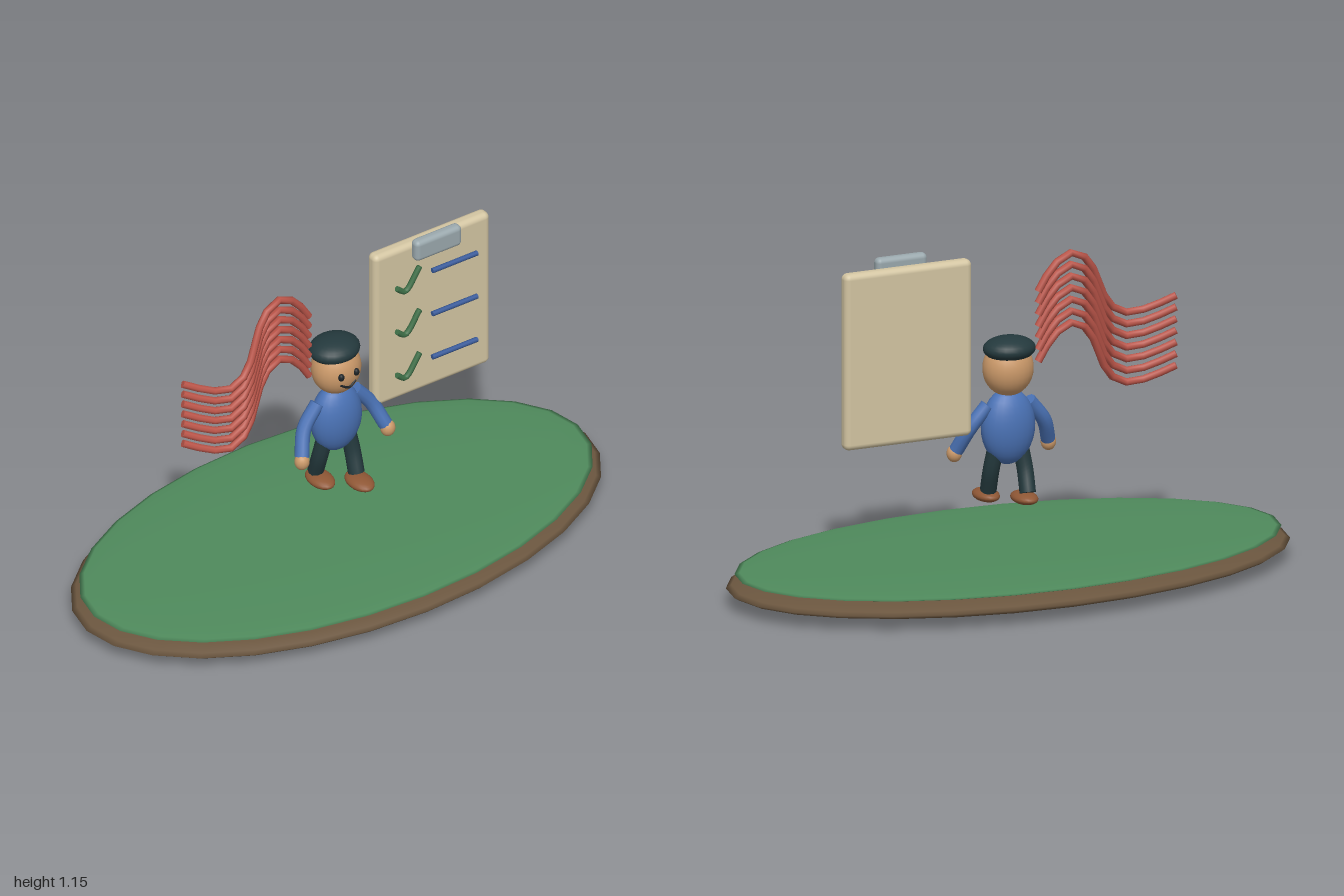
import * as THREE from 'three';
import { RoundedBoxGeometry } from 'three/addons/geometries/RoundedBoxGeometry.js';

const paint = (color) => new THREE.MeshStandardMaterial({ color });
const earth = paint(0x6b563f), grass = paint(0x4f8a5c), skin = paint(0xcc9a6a), dark = paint(0x24393d);
const shirt = paint(0x4a72b5), leather = paint(0x8f5735), cream = paint(0xd3c5a2), metal = paint(0x9aa8ad);
const red = paint(0xbb5549), tick = paint(0x3f7048), ink = paint(0x3a5c9c), black = paint(0x1c2226);

export function createModel() {
  const model = new THREE.Group();

  function add(parent, name, geometry, material, [x, y, z] = [0, 0, 0]) {
    const mesh = new THREE.Mesh(geometry, material);
    mesh.name = name;
    mesh.position.set(x, y, z);
    parent.add(mesh);
    return mesh;
  }
  const group = (name) => {
    const g = new THREE.Group();
    g.name = name;
    model.add(g);
    return g;
  };
  // Squashed sphere
  function blob(parent, name, material, centre, radii, w = 24, h = 16) {
    const geometry = new THREE.SphereGeometry(1, w, h).scale(...radii);
    return add(parent, name, geometry, material, centre);
  }
  // Tube through points, with closed ends
  function rod(parent, name, material, points, radius, steps = 12, sides = 8) {
    const path = points.map((p) => new THREE.Vector3(...p));
    const curve = new THREE.CatmullRomCurve3(path);
    const mesh = add(parent, name, new THREE.TubeGeometry(curve, steps, radius, sides), material);
    for (const [t, sign] of [[0, -1], [1, 1]]) {
      const cap = add(mesh, name + 'End', new THREE.CircleGeometry(radius, sides), material);
      cap.position.copy(curve.getPoint(t));
      cap.lookAt(cap.position.clone().addScaledVector(curve.getTangent(t), sign));
    }
    return mesh;
  }

  // Oval ground: earth with a thin lawn on top
  const ground = group('ground');
  blob(ground, 'earth', earth, [0, 0.058, 0], [1, 0.056, 0.545], 28, 16);
  blob(ground, 'lawn', grass, [0, 0.104, 0], [0.97, 0.02, 0.522], 28, 16);

  // Walking figure
  const figure = group('figure');
  blob(figure, 'torso', shirt, [0, 0.53, 0], [0.095, 0.13, 0.065]);
  blob(figure, 'head', skin, [0, 0.73, 0], [0.087, 0.095, 0.079]);
  blob(figure, 'cap', dark, [0, 0.8, -0.01], [0.09, 0.042, 0.078]);
  rod(figure, 'smile', black, [[-0.03, 0.705, 0.071], [0, 0.69, 0.077], [0.03, 0.705, 0.071]], 0.004, 10, 6);
  for (const s of [-1, 1]) {
    const side = s > 0 ? 'left' : 'right';
    blob(figure, side + 'Eye', black, [s * 0.03, 0.739, 0.075], [0.011, 0.014, 0.01], 12, 8);
    rod(figure, side + 'Arm', shirt, [[s * 0.075, 0.61, 0], [s * 0.135, 0.535, 0.01], [s * 0.168, 0.455, 0.045]], 0.025, 12, 10);
    blob(figure, side + 'Hand', skin, [s * 0.172, 0.443, 0.052], [0.026, 0.03, 0.025], 16, 12);
    // The left leg steps forward, the right one trails
    rod(figure, side + 'Leg', dark, [[s * 0.045, 0.46, 0], [s * 0.055, 0.38, s * 0.015], [s * 0.052, 0.305, s * 0.043]], 0.028, 12, 10);
    blob(figure, side + 'Shoe', leather, [s * 0.05, 0.283, s > 0 ? 0.065 : -0.02], [0.042, 0.021, 0.065], 20, 12);
  }

  // Checklist board with clip and three ticked rows
  const board = group('checklist');
  add(board, 'board', new RoundedBoxGeometry(0.465, 0.606, 0.05, 3, 0.02), cream, [0.372, 0.821, 0]);
  add(board, 'clip', new RoundedBoxGeometry(0.186, 0.08, 0.04, 3, 0.017), metal, [0.372, 1.111, 0.045]);
  for (const y of [0.995, 0.82, 0.645]) {
    rod(board, 'tick', tick, [[0.217, y - 0.015, 0.04], [0.25, y - 0.038, 0.04], [0.308, y + 0.04, 0.04]], 0.01);
    rod(board, 'writtenLine', ink, [[0.36, y, 0.038], [0.54, y, 0.038]], 0.009, 2);
  }

  // Waving banner made of seven stripes
  const banner = group('banner');
  const wave = [
    [-0.615, 0.904, 0], [-0.56, 0.877, 0.022], [-0.485, 0.852, 0.047], [-0.435, 0.858, 0.053],
    [-0.385, 0.9, 0.046], [-0.31, 1.045, 0.018], [-0.255, 1.094, 0.008], [-0.205, 1.087, 0.004],
    [-0.15, 1.04, 0], [-0.11, 0.978, 0],
  ];
  for (let i = 0; i < 7; i++) {
    rod(banner, 'stripe', red, wave.map(([x, y, z]) => [x, y - i * 0.04, z]), 0.013, 12, 8);
  }
  return model;
}
